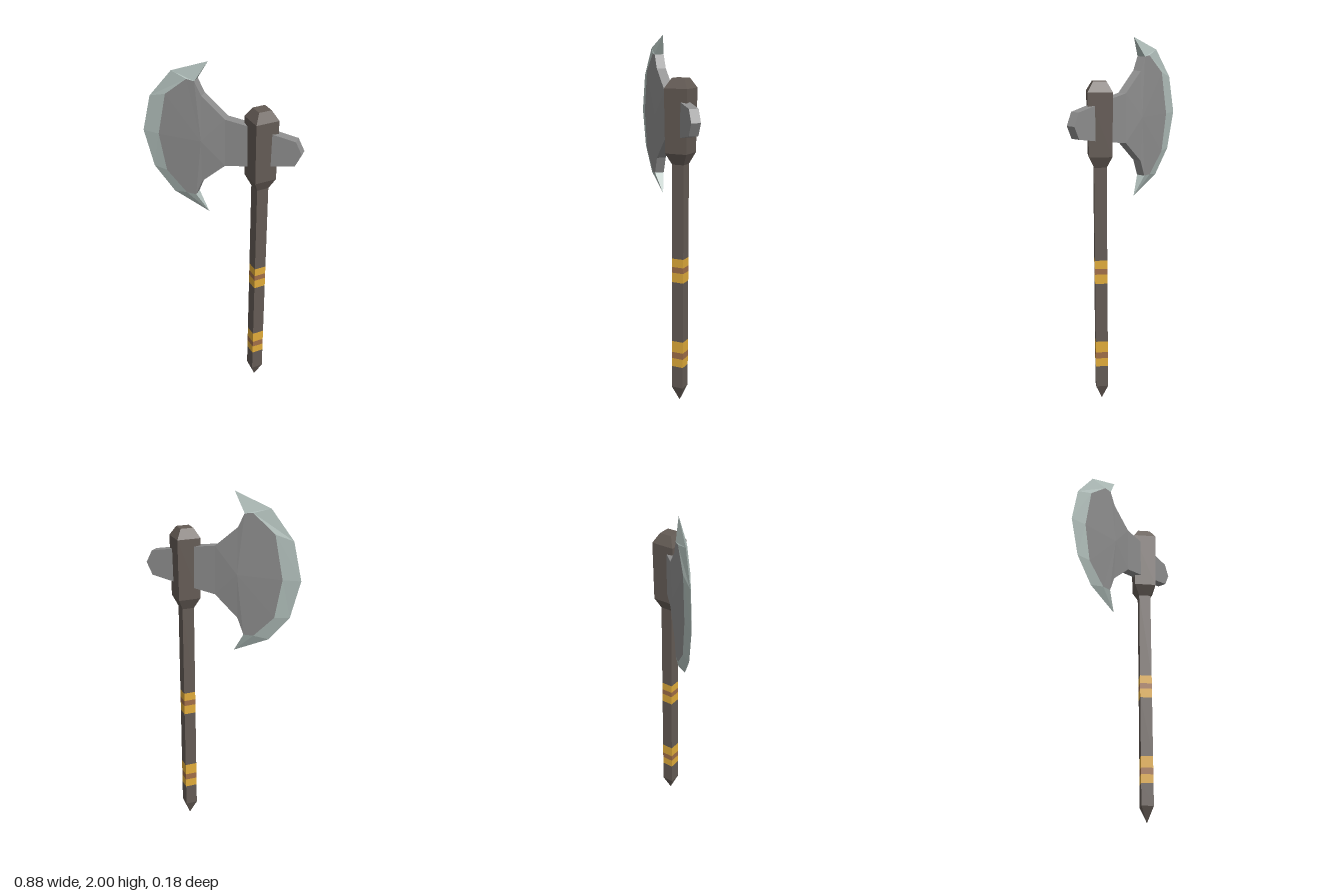
import * as THREE from 'three';

const material = (name, color) => {
  const m = new THREE.MeshStandardMaterial({ color, flatShading: true });
  m.name = name;
  return m;
};

// Collects triangles; front() also adds the copy mirrored to the back.
function faceBuilder() {
  const pos = [];
  const tri = (...pts) => pts.forEach((p) => pos.push(p[0], p[1], p[2]));
  const back = (p) => [p[0], p[1], -p[2]];
  return {
    front(a, b, c) {
      tri(a, b, c);
      tri(back(c), back(b), back(a));
    },
    // Rim between front and back, for an outline running counter-clockwise
    wall(p, q) {
      if (p[2] > 0) tri(p, back(p), back(q));
      if (q[2] > 0) tri(p, back(q), q);
    },
    mesh(name, mat) {
      const g = new THREE.BufferGeometry();
      g.setAttribute('position', new THREE.Float32BufferAttribute(pos, 3));
      g.computeVertexNormals();
      const m = new THREE.Mesh(g, mat);
      m.name = name;
      return m;
    },
  };
}

export function createModel() {
  const wood = material('dark wood', 0x645b55);
  const gold = material('gold', 0xe0ab3a);
  const leather = material('brown leather', 0xa06e48);
  const steel = material('steel', 0x8e8e8e);
  const edgeSteel = material('sharpened steel', 0xb2c0bc);

  const axe = new THREE.Group();
  axe.name = 'battleAxe';
  const X = 0.215; // handle axis
  const R = 0.047; // handle radius

  // Four-sided handle, cut into sections at the wrapped bands
  const section = (name, mat, profile) => {
    const pts = profile.map(([r, y]) => new THREE.Vector2(r, y));
    const m = new THREE.Mesh(new THREE.LatheGeometry(pts, 4), mat);
    m.position.x = X;
    m.name = name;
    axe.add(m);
  };
  section('handlePoint', wood, [[0, 0.005], [R, 0.09], [R, 0.212]]);
  section('handleGrip', wood, [[R, 0.36], [R, 0.698]]);
  section('handleHead', wood, [
    [R, 0.83], [R, 1.34], [0.086, 1.4], [0.092, 1.735], [0.05, 1.787], [0, 1.787],
  ]);
  [[0.212, 0.26, 0.296, 0.36], [0.698, 0.751, 0.783, 0.83]].forEach((y) => {
    section('lowerGoldBand', gold, [[R, y[0]], [R, y[1]]]);
    section('leatherBand', leather, [[R, y[1]], [R, y[2]]]);
    section('upperGoldBand', gold, [[R, y[2]], [R, y[3]]]);
  });

  // Blade outlines, from the top horn round to the bottom horn
  const inner = [
    [-0.135, 1.895, 0.026], [-0.18, 1.9, 0.022], [-0.3, 1.8, 0.018], [-0.345, 1.566, 0.018],
    [-0.305, 1.355, 0.018], [-0.19, 1.238, 0.022], [-0.135, 1.238, 0.026],
  ];
  const outer = [
    [-0.07, 2, 0], [-0.27, 1.926, 0], [-0.395, 1.77, 0], [-0.44, 1.566, 0],
    [-0.385, 1.36, 0], [-0.27, 1.222, 0], [-0.07, 1.13, 0],
  ];
  const T = 0.026;
  const neckTop = [[0.2, 1.685, T], [0.03, 1.71, T], [-0.098, 1.82, T]];
  const neckBottom = [[-0.1, 1.328, T], [0.03, 1.444, T], [0.2, 1.47, T]];

  // Blade body: slightly domed cheek, flat neck and rim
  const body = faceBuilder();
  const centre = [-0.1, 1.57, 0.037];
  const cheek = [...neckTop.slice(1), ...inner, ...neckBottom.slice(0, 2)];
  cheek.forEach((p, i) => body.front(centre, p, cheek[(i + 1) % cheek.length]));
  body.front(neckTop[0], neckTop[1], neckBottom[1]);
  body.front(neckTop[0], neckBottom[1], neckBottom[2]);
  const topRim = [...neckTop, inner[0]];
  const bottomRim = [inner[6], ...neckBottom];
  for (let i = 0; i < 3; i++) {
    body.wall(topRim[i], topRim[i + 1]);
    body.wall(bottomRim[i], bottomRim[i + 1]);
  }
  axe.add(body.mesh('bladeBody', steel));

  // Bevelled cutting edge with horn tips
  const edge = faceBuilder();
  for (let i = 0; i < 6; i++) {
    edge.front(inner[i], outer[i], outer[i + 1]);
    edge.front(inner[i], outer[i + 1], inner[i + 1]);
  }
  edge.wall(inner[0], outer[0]);
  edge.wall(outer[6], inner[6]);
  axe.add(edge.mesh('cuttingEdge', edgeSteel));

  // Blunt poll behind the handle
  const pollShape = new THREE.Shape([
    [0.21, 1.473], [0.403, 1.508], [0.437, 1.577], [0.403, 1.645], [0.21, 1.68],
  ].map(([x, y]) => new THREE.Vector2(x, y)));
  const poll = new THREE.Mesh(
    new THREE.ExtrudeGeometry(pollShape, { depth: 2 * T, bevelEnabled: false }), steel);
  poll.position.z = -T;
  poll.name = 'poll';
  axe.add(poll);

  return axe;
}
